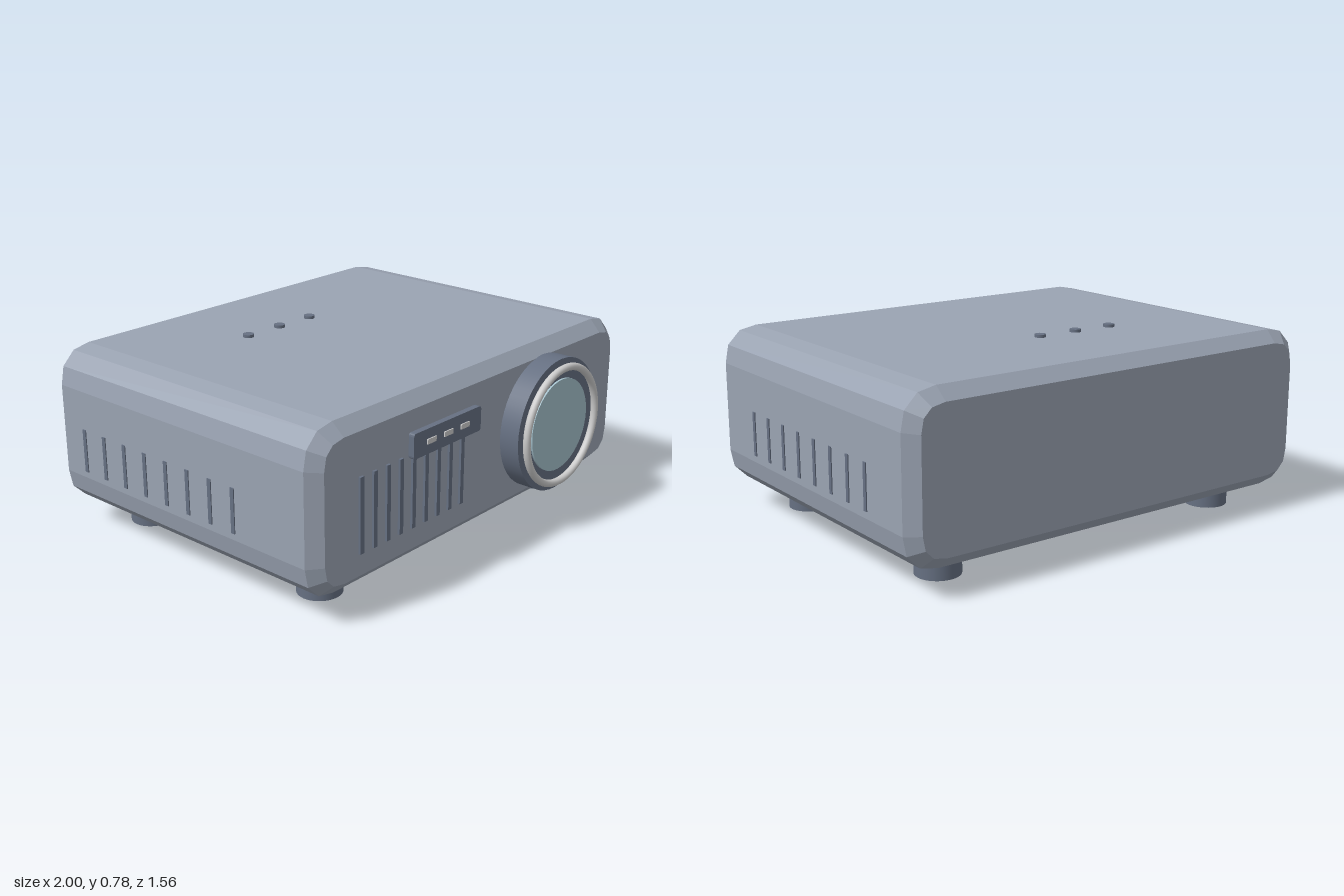
import * as THREE from 'three';

const mat = (color) => new THREE.MeshStandardMaterial({ color });

export function createModel() {
  const group = new THREE.Group();
  const shell = mat(0x9aa3b2), dark = mat(0x667082), silver = mat(0xcccccc), glass = mat(0xa3bfca);

  const add = (name, geometry, material, x, y, z) => {
    const mesh = new THREE.Mesh(geometry, material);
    mesh.name = name;
    mesh.position.set(x, y, z);
    group.add(mesh);
    return mesh;
  };

  // Rectangle with rounded corners, centred on the origin
  const roundedRect = (w, h, r) => {
    const x = w / 2, y = h / 2, s = new THREE.Shape();
    s.moveTo(-x + r, -y);
    s.lineTo(x - r, -y);
    s.quadraticCurveTo(x, -y, x, -y + r);
    s.lineTo(x, y - r);
    s.quadraticCurveTo(x, y, x - r, y);
    s.lineTo(-x + r, y);
    s.quadraticCurveTo(-x, y, -x, y - r);
    s.lineTo(-x, -y + r);
    s.quadraticCurveTo(-x, -y, -x + r, -y);
    return s;
  };

  // Housing with chamfered front and back edges
  add('housing', new THREE.ExtrudeGeometry(roundedRect(1.82, 0.56, 0.1), {
    depth: 1.34, curveSegments: 3, bevelSegments: 1, bevelSize: 0.05, bevelThickness: 0.05,
  }), shell, 0, 0.435, -0.73);

  // Feet
  for (const x of [-0.69, 0.69]) {
    for (const z of [0.425, -0.54]) {
      add('foot', new THREE.CylinderGeometry(0.09, 0.09, 0.12, 32), dark, x, 0.06, z);
    }
  }

  // Lens: barrel, trim ring and glass
  const disc = (name, r, z0, z1, material) => {
    const geometry = new THREE.CylinderGeometry(r, r, z1 - z0, 48).rotateX(Math.PI / 2);
    add(name, geometry, material, 0.39, 0.44, (z0 + z1) / 2);
  };
  disc('lensBarrel', 0.28, 0.6, 0.747, dark);
  disc('lensGlass', 0.195, 0.74, 0.756, glass);
  add('lensRing', new THREE.TorusGeometry(0.245, 0.0155, 16, 64), silver, 0.39, 0.44, 0.765);

  // Front grille slots
  for (let i = 0; i < 9; i++) {
    add('frontVent', new THREE.BoxGeometry(0.02, 0.3, 0.02), dark, -0.725 + i * 0.0724, 0.395, 0.66);
  }

  // Indicator panel with three lights
  add('indicatorPanel', new THREE.ExtrudeGeometry(roundedRect(0.402, 0.1, 0.012), {
    depth: 0.025, curveSegments: 3, bevelEnabled: false,
  }), dark, -0.272, 0.586, 0.67);
  for (const x of [-0.373, -0.273, -0.173]) {
    add('indicatorLight', new THREE.BoxGeometry(0.05, 0.02, 0.01), silver, x, 0.586, 0.695);
  }

  // Side vent strips
  for (const x of [-0.998, 0.998]) {
    for (let i = 0; i < 8; i++) {
      add('sideVent', new THREE.BoxGeometry(0.004, 0.18, 0.018), dark, x, 0.393, 0.292 - i * 0.1205);
    }
  }

  // Top buttons
  for (const x of [-0.333, -0.153, 0.027]) {
    add('topButton', new THREE.CylinderGeometry(0.023, 0.023, 0.022, 24), dark, x, 0.766, -0.3);
  }

  return group;
}
